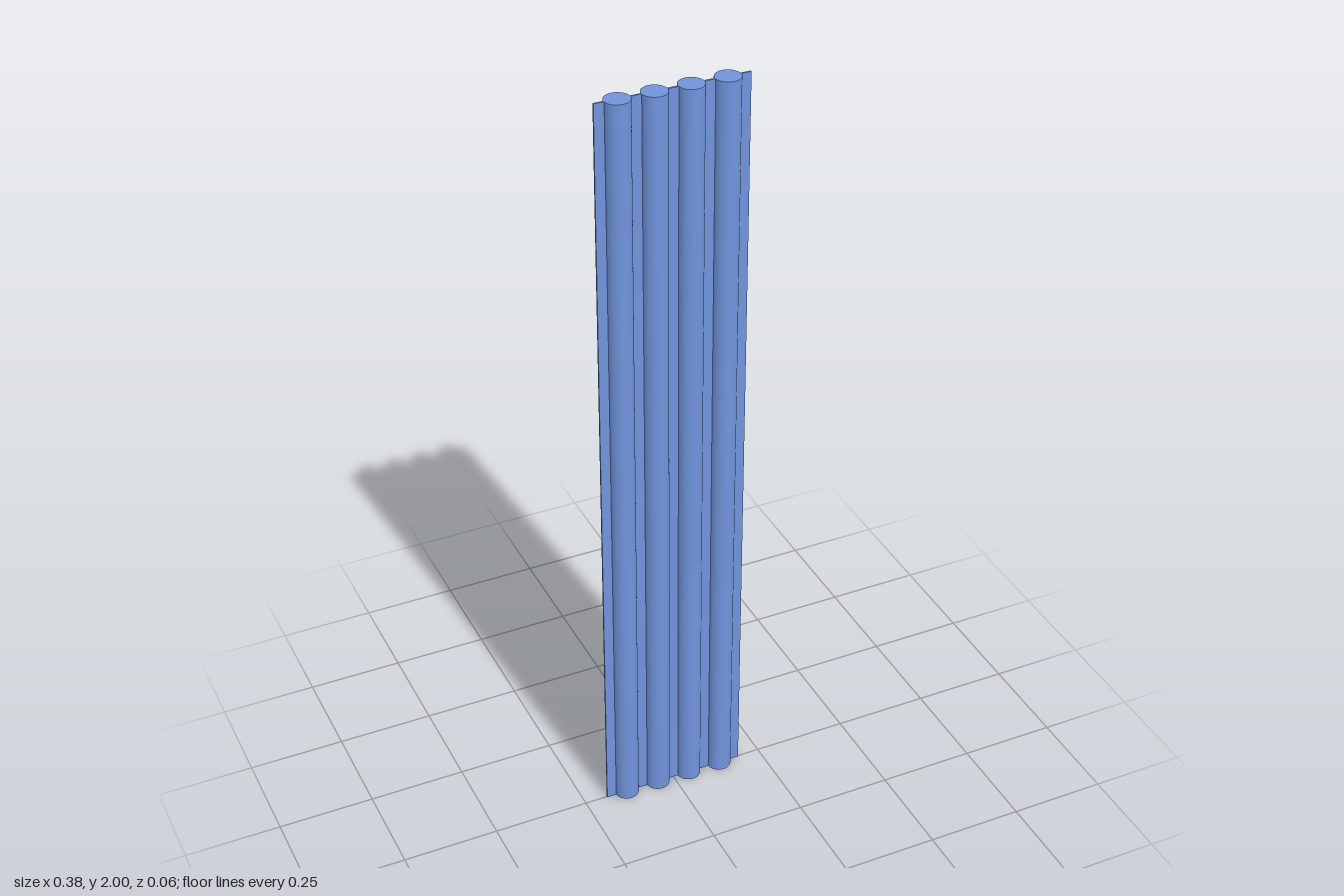
import * as THREE from 'three';

const HEIGHT = 2, RADIUS = 0.0315, PITCH = 0.089, COUNT = 4;
const HALF_WIDTH = 0.19, FIN_THICKNESS = 0.005, EMBED = 0.001;

export function createModel() {
  const group = new THREE.Group();
  group.name = 'finnedTubePanel';
  const material = new THREE.MeshStandardMaterial({ color: 0x7094db });

  const add = (name, geometry, x) => {
    const mesh = new THREE.Mesh(geometry, material);
    mesh.name = name;
    mesh.position.set(x, HEIGHT / 2, 0);
    group.add(mesh);
  };

  // Thin web filling the space between two x positions
  const addFin = (name, x0, x1) =>
    add(name, new THREE.BoxGeometry(x1 - x0, HEIGHT, FIN_THICKNESS), (x0 + x1) / 2);

  // Row of solid round tubes, with a fin on the left and right of each
  const tube = new THREE.CylinderGeometry(RADIUS, RADIUS, HEIGHT, 64);
  let edge = -HALF_WIDTH;
  for (let i = 0; i < COUNT; i++) {
    const x = (i - (COUNT - 1) / 2) * PITCH;
    add(`tube${i + 1}`, tube, x);
    addFin(`fin${i + 1}`, edge, x - RADIUS + EMBED);
    edge = x + RADIUS - EMBED;
  }
  addFin(`fin${COUNT + 1}`, edge, HALF_WIDTH);

  return group;
}
